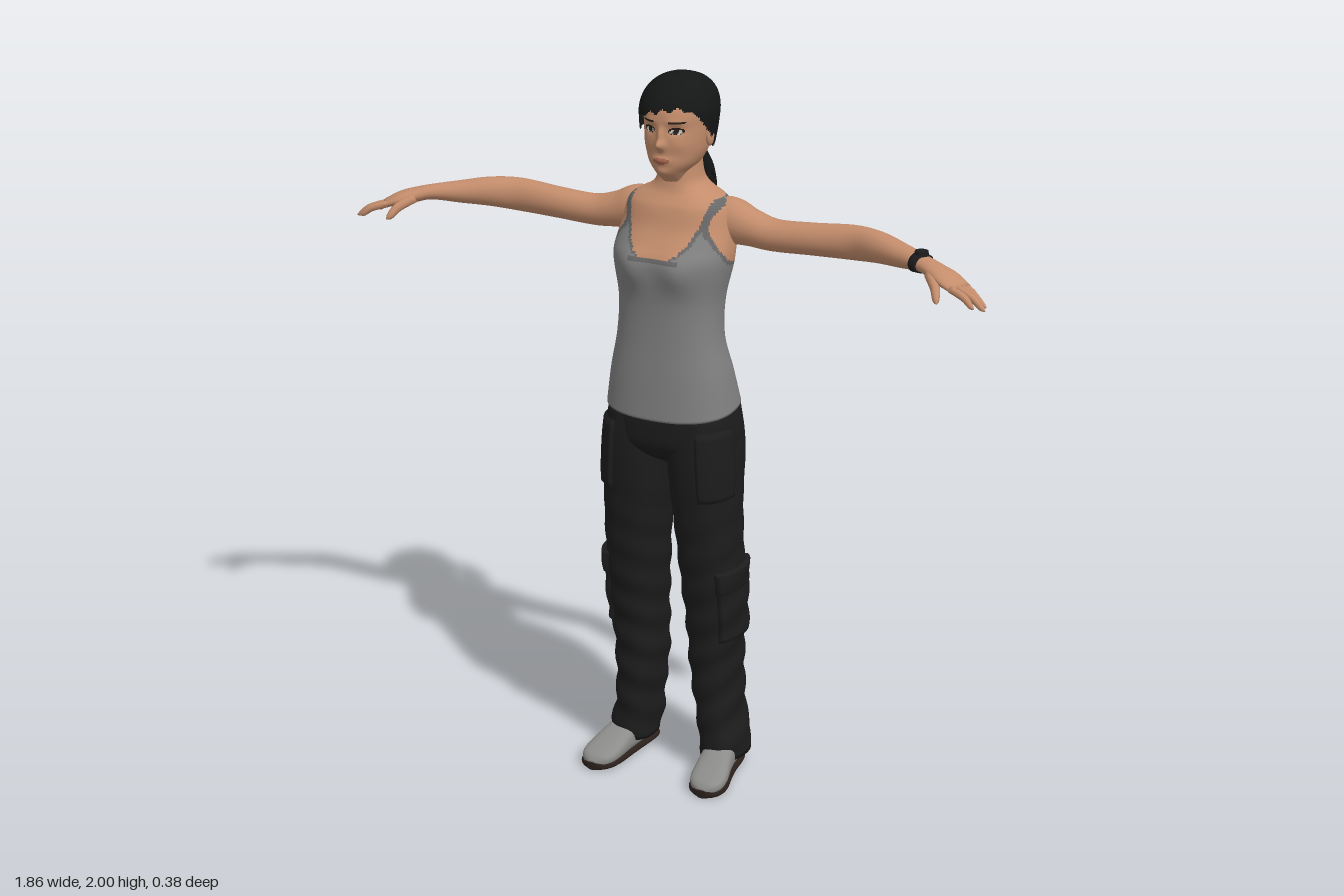
import * as THREE from 'three';
import { mergeGeometries } from 'three/addons/utils/BufferGeometryUtils.js';

const mat = (name, color) => Object.assign(new THREE.MeshStandardMaterial({ color, side: THREE.DoubleSide }), { name });
const V = (x, y, z) => new THREE.Vector3(x, y, z);
const clamp = THREE.MathUtils.clamp;

// Smooth interpolation of rows [t, a, b, ...]
const track = rows => t => {
  let i = 0;
  while (i < rows.length - 2 && t > rows[i + 1][0]) i++;
  const p = rows[i], q = rows[i + 1], o = rows[Math.max(i - 1, 0)], r = rows[Math.min(i + 2, rows.length - 1)];
  const h = q[0] - p[0], s = clamp((t - p[0]) / h, 0, 1), s2 = s * s, s3 = s2 * s;
  return p.slice(1).map((a, k) => {
    const b = q[k + 1];
    const m = (b - o[k + 1]) / (q[0] - o[0]) * h, n = (r[k + 1] - a) / (r[0] - p[0]) * h;
    return (2 * s3 - 3 * s2 + 1) * a + (s3 - 2 * s2 + s) * m + (3 * s2 - 2 * s3) * b + (s3 - s2) * n;
  });
};

// Skin over fn(u, v); pick(point) gives the material index of a cell, or -1 for a gap
function grid(fn, nu, nv, { closed = true, caps = closed, pick = null } = {}) {
  const pts = [], w = closed ? nu : nu + 1, lists = [];
  for (let j = 0; j <= nv; j++) for (let i = 0; i < w; i++) pts.push(fn(i / nu, j / nv));
  for (let j = 0; j < nv; j++) for (let i = 0; i < nu; i++) {
    const a = j * w + i, b = j * w + (i + 1) % w, c = a + w, d = b + w;
    const k = pick ? pick(pts[a].clone().add(pts[d]).multiplyScalar(0.5)) : 0;
    if (k >= 0) (lists[k] ??= []).push(a, c, b, b, c, d);
  }
  if (caps) for (const end of [0, nv]) {
    const mid = V(0, 0, 0), n = pts.length;
    for (let i = 0; i < w; i++) mid.addScaledVector(pts[end * w + i], 1 / w);
    pts.push(mid);
    for (let i = 0; i < w; i++) {
      const a = end * w + i, b = end * w + (i + 1) % w;
      lists[0].push(n, ...(end ? [b, a] : [a, b]));
    }
  }
  const g = new THREE.BufferGeometry().setFromPoints(pts);
  g.setIndex(lists.flat());
  if (pick) {
    let start = 0;
    lists.forEach((l, k) => { g.addGroup(start, l.length, k); start += l.length; });
  }
  g.computeVertexNormals();
  return g;
}

// Upright body of rounded sections, rows [y, xMin, xMax, zFront, zBack]
const stack = (rows, e = 2) => {
  const f = track(rows), p = c => Math.sign(c) * Math.abs(c) ** (2 / e);
  return (a, y) => {
    const [x0, x1, zf, zb] = f(y);
    return V((x0 + x1) / 2 + (x1 - x0) / 2 * p(Math.cos(a)), y, (zf + zb) / 2 + (zf - zb) / 2 * p(Math.sin(a)));
  };
};
const even = rows => rows.map(([y, r, f, b]) => [y, -r, r, f, b]);

// Limb along rows [x, y, z, radius along "axis", radius across]
const limb = (rows, axis = V(0, 1, 0)) => {
  const f = track(rows.map((r, i) => [i, ...r])), n = rows.length - 1;
  return (u, v, k = 1) => {
    const t = v * n, [x, y, z, ra, rb] = f(t), p = f(Math.min(t + 0.05, n)), q = f(Math.max(t - 0.05, 0));
    const T = V(p[0] - q[0], p[1] - q[1], p[2] - q[2]).normalize();
    const A = axis.clone().addScaledVector(T, -axis.dot(T)).normalize(), B = A.clone().cross(T);
    const a = u * Math.PI * 2;
    return V(x, y, z).addScaledVector(A, ra * k * Math.cos(a)).addScaledVector(B, rb * k * Math.sin(a));
  };
};

function mirrored(g) {
  const m = g.clone().scale(-1, 1, 1), ix = m.index.array;
  for (let i = 0; i < ix.length; i += 3) [ix[i], ix[i + 1]] = [ix[i + 1], ix[i]];
  m.computeVertexNormals();
  return m;
}

export function createModel() {
  const root = new THREE.Group();
  const skin = mat('skin', 0xc48d6c), shirt = mat('shirt grey', 0x808080), trim = mat('shirt trim', 0x686868);
  const cloth = mat('trouser black', 0x1c1c1d), hair = mat('hair black', 0x151616), shoe = mat('shoe grey', 0x8c8c8a);
  const sole = mat('sole brown', 0x2b201b), lip = mat('lips', 0xa5654f), white = mat('eye white', 0xc9c4bd), dark = mat('eye dark', 0x2c2019);
  const add = (name, g, m) => { const o = new THREE.Mesh(g, m); o.name = name; root.add(o); return o; };
  const pair = (name, g, m) => { add(name + 'Left', g, m); add(name + 'Right', mirrored(g), m); };
  const TAU = Math.PI * 2;

  // Torso: tank top, its trim, and bare chest, shoulders and neck
  const body = stack(even([[1.1, .186, .163, -.112], [1.2, .17, .155, -.085], [1.3, .149, .146, -.062], [1.4, .146, .143, -.073],
    [1.5, .163, .15, -.1], [1.53, .165, .145, -.106], [1.56, .163, .125, -.111], [1.6, .157, .1, -.114], [1.655, .143, .08, -.106],
    [1.675, .122, .066, -.1], [1.69, .092, .056, -.094], [1.71, .067, .05, -.086], [1.74, .058, .046, -.075], [1.79, .055, .045, -.07]]), 2.35);
  const torso = (u, v) => {
    const p = body(u * TAU, 1.1 + .69 * v);
    if (p.z > .03) p.z += .014 * Math.exp(-(((Math.abs(p.x) - .072) / .045) ** 2) - ((p.y - 1.495) / .05) ** 2);
    p.y -= .12 * (p.z - .03) * clamp((1.3 - p.y) / .2, 0, 1);
    return p;
  };
  const shirtPick = p => {
    const x = Math.abs(p.x), base = p.z > -.02 ? 1.53 : 1.62, top = 1.68;
    const neck = p.y < base ? Math.max(x - .06, base - p.y) : x - .118 * Math.min((p.y - base) / (top - base), 1) ** .27;
    const arm = x > .1 ? (Math.hypot((p.z + .01) / .078, (p.y - 1.585) / .076) - 1) * .077 : 1;
    const f = Math.min(neck, arm);
    return f < 0 || p.y > 1.69 ? 2 : f < .011 || p.y < 1.098 - .12 * (p.z - .03) ? 1 : 0;
  };
  add('torso', grid(torso, 150, 120, { pick: shirtPick }), [shirt, trim, skin]);

  // Head with modelled face
  const skull = stack(even([[1.72, .03, .06, -.04], [1.745, .042, .088, -.055], [1.77, .063, .098, -.075], [1.8, .077, .098, -.092],
    [1.83, .083, .1, -.102], [1.87, .087, .099, -.112], [1.91, .089, .096, -.114], [1.945, .078, .078, -.104], [1.97, .054, .048, -.078],
    [1.982, .025, .016, -.042], [1.985, .002, -.01, -.014]]), 2.1);
  const bumps = [[0, 1.827, .012, .013, .02], [0, 1.852, .009, .02, .01], [.038, 1.864, .018, .012, -.007], [.036, 1.888, .025, .009, .003],
    [0, 1.785, .022, .009, .007], [0, 1.752, .02, .012, .006], [.05, 1.825, .02, .02, .003]];
  const skullAt = (u, v) => {
    const a = u * TAU;
    return skull(a + .5 * Math.cos(a), 1.72 + .265 * Math.sin(v * Math.PI / 2));
  };
  const face = (u, v) => {
    const p = skullAt(u, v), z = p.z;
    if (z > 0) for (const [x, y, sx, sy, amp] of bumps)
      p.z += amp * Math.exp(-(((Math.abs(p.x) - x) / sx) ** 2) - ((p.y - y) / sy) ** 2) * clamp(z / .04, 0, 1);
    return p;
  };
  const inside = (p, x, y, rx, ry) => p.z > .03 && Math.hypot((Math.abs(p.x) - x) / rx, (p.y - y) / ry) < 1;
  const facePick = p => inside(p, .037, 1.862, .0065, .007) ? 3 : inside(p, .038, 1.862, .016, .006) ? 2
    : inside(p, .038, 1.864, .019, .009) || inside(p, .041, 1.887, .021, .0035) ? 3 : inside(p, 0, 1.784, .024, .008) ? 1 : 0;
  add('head', grid(face, 140, 120, { pick: facePick }), [skin, lip, white, dark]);
  const ear = new THREE.SphereGeometry(1, 14, 10).scale(.01, .028, .017).translate(.087, 1.838, -.012);
  pair('ear', ear, skin);

  // Hair cap with a swept fringe
  const hairLine = track([[-.16, 1.775], [-.1, 1.785], [-.04, 1.815], [0, 1.845], [.05, 1.872], [.085, 1.908], [.12, 1.918]]);
  const cap = (u, v) => {
    const p = skullAt(u, v);
    return V(p.x * 1.14, 1.87 + (p.y - 1.87) * 1.125, -.01 + (p.z + .01) * 1.12);
  };
  add('hairCap', grid(cap, 110, 80, {
    caps: false,
    pick: p => p.y > hairLine(p.z)[0] + .22 * p.x * clamp(p.z / .05, 0, 1) + .005 * Math.sin(p.x * 170) ? 0 : -1
  }), [hair]);

  // Ponytail with loose pointed locks
  const tail = [[0, 1.82, -.095, .034, .03], [0, 1.775, -.112, .022, .02], [0, 1.72, -.135, .034, .026], [0, 1.66, -.148, .038, .027],
    [0, 1.6, -.152, .03, .022], [0, 1.53, -.17, .004, .004]];
  const locks = [grid(limb(tail, V(1, 0, 0)), 16, 30)];
  const tailAt = track(tail.map(r => [-r[1], ...r]));
  for (let i = 0; i < 18; i++) {
    const y = 1.73 - i * .0095, [, , z, rx] = tailAt(-y), a = i * 2.4, out = V(Math.cos(a), -1.5, Math.sin(a) * .5).normalize();
    locks.push(new THREE.ConeGeometry(.013, .075, 5).applyQuaternion(new THREE.Quaternion().setFromUnitVectors(V(0, 1, 0), out))
      .translate(rx * .85 * Math.cos(a), y - .015, z + .018 * Math.sin(a)));
  }
  locks.forEach(g => g.deleteAttribute('uv'));
  add('ponytail', mergeGeometries(locks), hair);
  add('hairTie', new THREE.TorusGeometry(.021, .006, 8, 20).rotateX(1.25).translate(0, 1.778, -.111), cloth);

  // Arms and hands
  const arm = limb([[.08, 1.605, -.037, .06, .05], [.14, 1.607, -.04, .064, .056], [.2, 1.596, -.038, .05, .05], [.27, 1.586, -.035, .043, .045],
    [.38, 1.592, -.03, .043, .041], [.5, 1.6, -.026, .046, .038], [.58, 1.605, 0, .041, .038], [.66, 1.603, .035, .031, .034],
    [.73, 1.602, .07, .021, .028], [.77, 1.594, .088, .02, .032], [.81, 1.583, .105, .018, .04], [.85, 1.568, .12, .011, .037]]);
  pair('arm', grid(arm, 28, 66), skin);
  const fingers = [[.845, 1.567, .147, .905, 1.537, .168], [.852, 1.568, .13, .928, 1.53, .15], [.85, 1.567, .112, .922, 1.531, .126],
    [.838, 1.568, .094, .893, 1.54, .097], [.775, 1.585, .115, .812, 1.54, .18]];
  fingers.forEach(([x, y, z, X, Y, Z], i) => {
    const r = i === 4 ? .013 : .0095;
    pair('finger' + (i + 1), grid(limb([[x - .012, y + .004, z - .004, r, r], [(x + X) / 2, (y + Y) / 2 + .006, (z + Z) / 2, r, r * .95],
      [x * .15 + X * .85, y * .15 + Y * .85, z * .15 + Z * .85, r * .75, r * .7], [X, Y, Z, .002, .002]]), 10, 12), skin);
  });

  // Wristwatch on the left arm
  add('watchBand', grid((u, v) => arm(u, .7 + .03 * v, 1.18), 24, 3), cloth);
  add('watchFace', new THREE.CylinderGeometry(.017, .019, .012, 20).translate(.722, 1.628, .065), cloth);

  // Trousers: hips, legs and raised pockets
  const hips = stack(even([[.93, .05, .06, -.04], [.965, .14, .12, -.1], [1, .184, .148, -.113], [1.05, .187, .153, -.113],
    [1.1, .179, .15, -.106], [1.13, .168, .14, -.09]]), 2.4);
  add('hips', grid((u, v) => hips(u * TAU, .93 + .2 * v), 64, 24), cloth);
  const legBody = stack([[.045, .082, .207, .063, -.095], [.09, .076, .206, .072, -.112], [.16, .072, .19, .074, -.112], [.3, .054, .185, .083, -.108],
    [.45, .046, .192, .096, -.097], [.6, .035, .197, .115, -.087], [.75, .024, .196, .132, -.08], [.86, .013, .194, .143, -.089],
    [.95, .004, .192, .148, -.108], [1.02, .004, .187, .146, -.108], [1.09, .01, .177, .14, -.1]], 2.35);
  const leg = (a, y, out = 0) => {
    const p = legBody(a, y), fold = .0035 * Math.sin(y * 62 + 2 * a) * clamp((.95 - y) * 2, 0, 1) + out;
    p.x += Math.cos(a) * fold;
    p.z += Math.sin(a) * fold;
    return p;
  };
  pair('leg', grid((u, v) => leg(u * TAU, .045 + 1.045 * v), 48, 80), cloth);
  const pocket = (a0, a1, y0, y1, depth) => grid((u, v) => {
    const edge = Math.min(u, 1 - u, v, 1 - v);
    return leg(a0 + (a1 - a0) * u, y0 + (y1 - y0) * v, edge < .01 ? -.004 : depth);
  }, 20, 20, { closed: false });
  pair('thighPocket', pocket(.1, 1.35, .855, 1.06, .009), cloth);
  pair('cargoPocket', pocket(-.9, .95, .42, .61, .01), cloth);
  pair('cargoFlap', pocket(-.95, 1, .58, .645, .014), cloth);

  // Shoes, lofted from heel to toe
  const last = track([[-.09, .138, .02, .04], [-.075, .139, .036, .07], [-.04, .143, .044, .095], [.02, .15, .045, .1], [.07, .158, .048, .088],
    [.12, .167, .053, .066], [.16, .172, .05, .052], [.185, .174, .035, .042], [.196, .175, .012, .028]]);
  const footPart = (y0, top, grow) => grid((u, v) => {
    const z = -.09 + .286 * (.5 - .5 * Math.cos(v * Math.PI)), [x, w, h] = last(z), y1 = top ?? h, a = u * TAU;
    const sq = c => Math.sign(c) * Math.abs(c) ** .75;
    return V(x + (w + grow) * sq(Math.cos(a)), (y0 + y1) / 2 - (y1 - y0) / 2 * sq(Math.sin(a)), z * (1 + grow * 4));
  }, 28, 30);
  pair('shoe', footPart(.01, null, 0), shoe);
  pair('sole', footPart(0, .024, .003), sole);
  return root;
}
